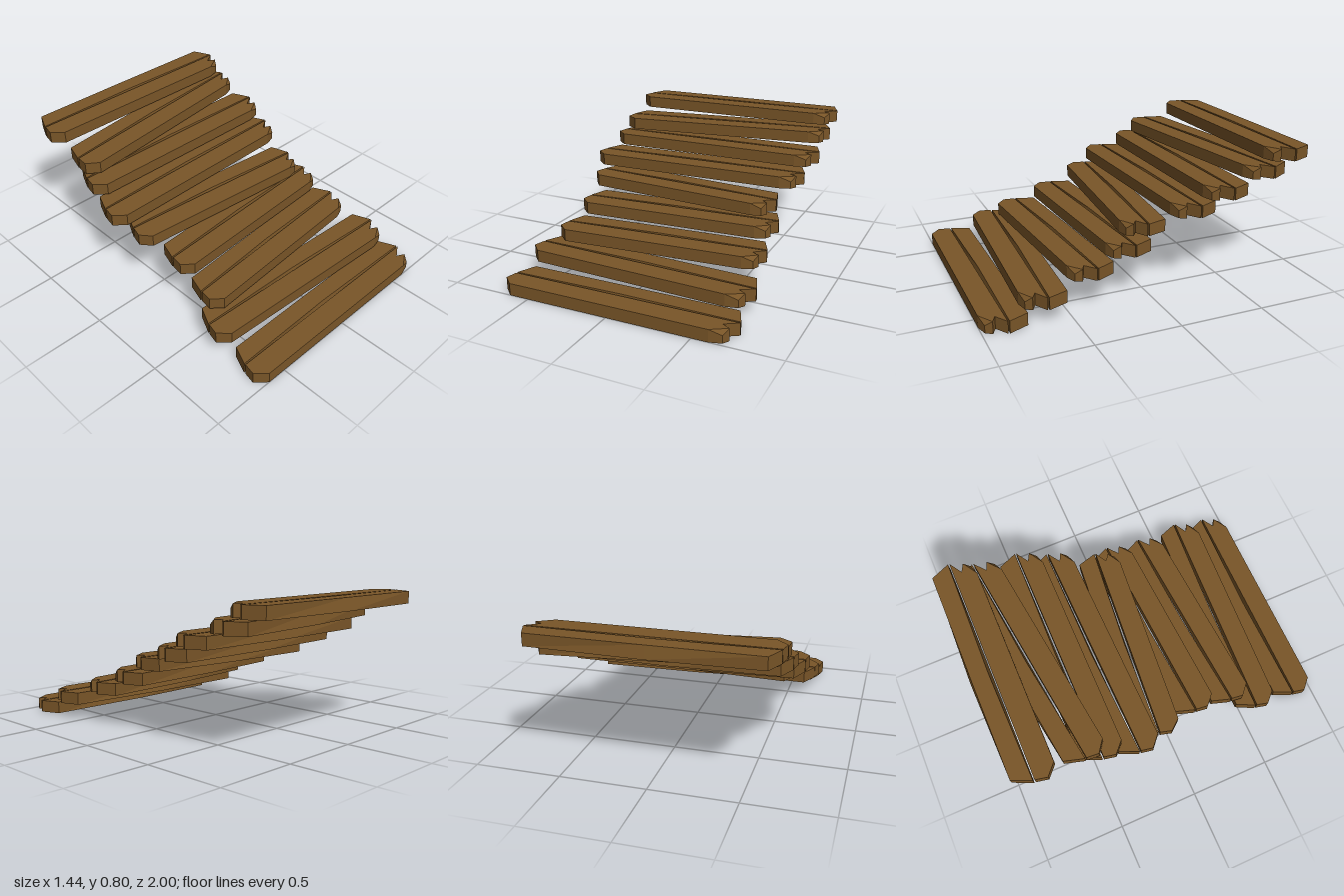
import * as THREE from 'three';

const HEIGHT = 0.073, PITCH = 0.0909;

// Slab from an outline of [x, z, bottomX?, bottomZ?]; the optional pair shifts the lower corner.
// 'chip' is the index of a corner whose top is broken down to chipY.
function slabGeometry(outline, chip = -1, chipY = HEIGHT) {
  const pos = [];
  const top = i => [outline[i][0], i === chip ? chipY : HEIGHT, outline[i][1]];
  const low = i => [outline[i][2] ?? outline[i][0], 0, outline[i][3] ?? outline[i][1]];
  const tri = (a, b, c) => pos.push(...a, ...b, ...c);
  const n = outline.length;
  // sides
  for (let i = 0; i < n; i++) {
    const j = (i + 1) % n;
    tri(low(i), low(j), top(j));
    tri(low(i), top(j), top(i));
  }
  // underside and top as fans, the top leaving out the chipped corner
  for (let i = 1; i < n - 1; i++) tri(low(0), low(i + 1), low(i));
  const ring = outline.map((_, i) => i).filter(i => i !== chip);
  for (let i = 1; i < ring.length - 1; i++) tri(top(0), top(ring[i]), top(ring[i + 1]));
  if (chip > 0) tri(top(chip - 1), top(chip), top(chip + 1));
  const g = new THREE.BufferGeometry();
  g.setAttribute('position', new THREE.Float32BufferAttribute(pos, 3));
  g.computeVertexNormals();
  return g;
}

export function createModel() {
  const wood = new THREE.MeshStandardMaterial({ color: 0x7a5628, flatShading: true });

  // front half: pointed left end, split and chipped right end
  const frontGeo = slabGeometry([
    [-0.67, 0.004], [-0.685, 0.075], [-0.62, 0.135], [0.595, 0.135],
    [0.665, 0.116], [0.688, 0.078], [0.64, 0.053], [0.718, 0.004],
  ], 4, 0.045);

  // rear half: slightly twisted in the middle
  const rearGeo = slabGeometry([
    [-0.62, -0.118], [-0.67, -0.005], [0, -0.018, 0, -0.005],
    [0.718, -0.005], [0.67, -0.118], [0, -0.12, 0, -0.136],
  ]);

  // each step: centre x, z of the split, turn, length factor
  const steps = [
    [0.016, 0.865, 0, 1],
    [0.018, 0.612, -0.047, 1],
    [0.035, 0.39, 0.071, 0.905],
    [0.033, 0.148, 0.058, 0.888],
    [-0.022, -0.043, -0.084, 0.895],
    [-0.02, -0.265, 0.022, 1],
    [0.016, -0.467, 0, 1],
    [0.02, -0.643, 0.127, 0.99],
    [0.016, -0.861, 0, 1],
  ];

  const model = new THREE.Group();
  model.name = 'plankStairs';
  steps.forEach(([x, z, turn, length], i) => {
    const step = new THREE.Group();
    step.name = `step${i + 1}`;
    for (const [name, geo] of [['frontPlank', frontGeo], ['rearPlank', rearGeo]]) {
      const plank = new THREE.Mesh(geo, wood);
      plank.name = name;
      step.add(plank);
    }
    step.scale.x = length;
    step.rotation.y = turn;
    step.position.set(x - 0.016 * length, i * PITCH, z);
    model.add(step);
  });
  return model;
}
